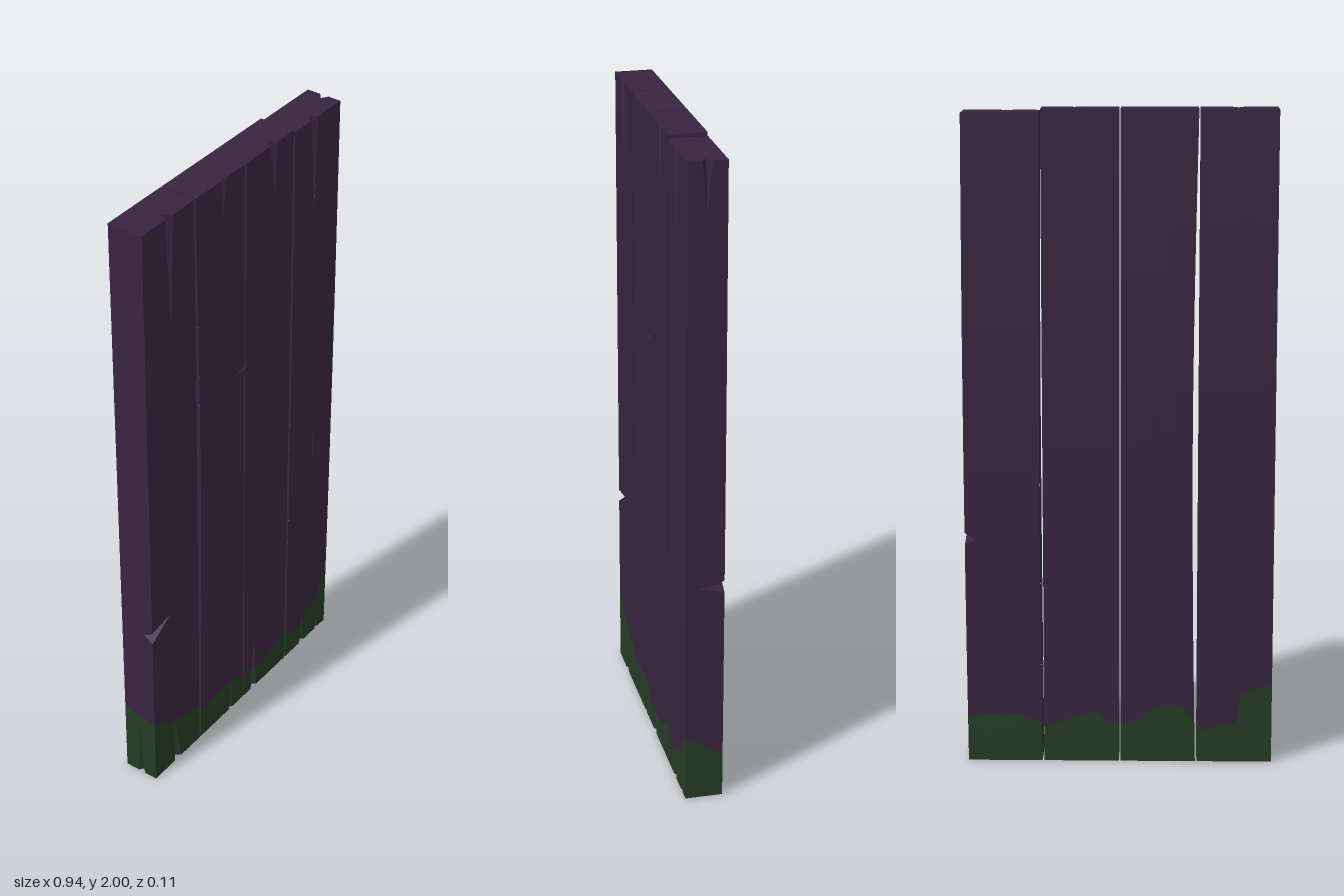
import * as THREE from 'three';

const FRONT = 0.056, BACK = -0.058;
const V = (x, y, z) => new THREE.Vector3(x, y, z);

// upper border of the moss along the front and the back
const mossFront = [[-0.47, 0.23], [-0.43, 0.22], [-0.4, 0.18], [-0.37, 0.17], [-0.33, 0.16], [-0.28, 0.14], [-0.25, 0.14],
  [-0.235, 0.11], [-0.15, 0.115], [-0.08, 0.12], [-0.05, 0.1], [-0.03, 0.11], [-0.01, 0.07], [0.03, 0.085], [0.08, 0.07],
  [0.15, 0.085], [0.2, 0.1], [0.22, 0.13], [0.24, 0.13], [0.25, 0.1], [0.29, 0.07], [0.34, 0.08], [0.35, 0.11],
  [0.39, 0.13], [0.42, 0.14], [0.43, 0.19], [0.467, 0.21]];
const mossBack = [[-0.47, 0.25], [-0.375, 0.22], [-0.36, 0.12], [-0.32, 0.12], [-0.25, 0.1], [-0.2, 0.18], [-0.12, 0.18],
  [-0.06, 0.13], [0.02, 0.12], [0.07, 0.16], [0.14, 0.14], [0.22, 0.11], [0.3, 0.15], [0.38, 0.15], [0.467, 0.14]];

// cracks: [centre x, half width, tip x, length, depth]
// nick: a cut across a vertical edge; endNick: a cut into a side face from one end
const planks = [
  { name: 'plankRight', x0: -0.47, x1: -0.24, top: 2, bow: [0, 0],
    topCracks: [[-0.352, 0.018, -0.35, 0.35, 0.028]],
    bottomCracks: [[-0.355, 0.016, -0.365, 0.17, 0.022]],
    nick: { x: -0.47, z: FRONT, lo: 0.565, hi: 0.605, tipX: -0.38, tipY: 0.62, tipZ: FRONT - 0.03 },
    endNick: { x: -0.47, end: 0, half: 0.012, inX: -0.455, tipY: 0.19 } },
  { name: 'plankMiddleRight', x0: -0.235, x1: -0.005, top: 2, bow: [0.013, 0],
    topCracks: [[-0.102, 0.013, -0.11, 0.12, 0.01]],
    bottomCracks: [[-0.072, 0.009, -0.072, 0.1, 0.01]],
    nick: { x: -0.005, z: FRONT, lo: 1.306, hi: 1.322, tipX: -0.05, tipY: 1.31, tipZ: FRONT - 0.012 } },
  { name: 'plankMiddleLeft', x0: 0, x1: 0.23, top: 2, bow: [0, 0],
    topCracks: [[0.133, 0.017, 0.14, 0.17, 0.018]],
    bottomCracks: [[0.055, 0.016, 0.055, 0.24, 0.02]] },
  { name: 'plankLeft', x0: 0.236, x1: 0.464, top: 1.99, bow: [0.004, 0.004],
    topCracks: [[0.334, 0.018, 0.34, 0.32, 0.017]],
    bottomCracks: [[0.332, 0.014, 0.328, 0.13, 0.016], [0.417, 0.008, 0.414, 0.08, 0.01]],
    nick: { x: 0.464, z: BACK, lo: 0.685, hi: 0.725, tipX: 0.434, tipY: 0.705, tipZ: 0.02 },
    endNick: { x: 0.464, end: 1.99, half: 0.014, inX: 0.442, tipY: 1.83 },
    sliver: [[0.361, 0.8, 0.8], [0.366, 0.72, 0.88], [0.37, 0.8, 0.8]] },
];

// piecewise linear curve; k picks the value column
function curve(points, k = 1) {
  const p = [...points].sort((a, b) => a[0] - b[0]);
  const f = (u) => {
    if (u <= p[0][0]) return p[0][k];
    for (let i = 1; i < p.length; i++) {
      if (u <= p[i][0]) return p[i - 1][k] + (p[i][k] - p[i - 1][k]) * (u - p[i - 1][0]) / (p[i][0] - p[i - 1][0]);
    }
    return p[p.length - 1][k];
  };
  f.stops = p.map((q) => q[0]);
  return f;
}
const flat = (v) => curve([[0, v]]);

// triangle wound to face the given point
function tri(out, a, b, c, toward) {
  const n = b.clone().sub(a).cross(c.clone().sub(a));
  if (n.length() < 1e-9) return;
  const ok = n.dot(toward.clone().sub(a)) > 0;
  for (const p of ok ? [a, b, c] : [a, c, b]) out.push(p.x, p.y, p.z);
}
function quad(out, a, b, c, d, toward) {
  tri(out, a, b, c, toward);
  tri(out, a, c, d, toward);
}

// flat face made of columns between curves; band = [lower, upper, output, rows]
function sheet(u0, u1, curves, bands, place, toward) {
  const inside = curves.flatMap((c) => c.stops).filter((u) => u > u0 + 1e-5 && u < u1 - 1e-5);
  const stops = [...new Set([u0, ...inside, u1])].sort((a, b) => a - b);
  for (let i = 1; i < stops.length; i++) for (let s = 0; s < 4; s++) {
    const step = (stops[i] - stops[i - 1]) / 4, a = stops[i - 1] + step * s, b = a + step;
    for (const [lo, hi, out, rows] of bands) for (let r = 0; r < rows; r++) {
      const at = (u, t) => place(u, lo(u) + (hi(u) - lo(u)) * t / rows);
      quad(out, at(a, r), at(b, r), at(b, r + 1), at(a, r + 1), toward);
    }
  }
}

// two walls of a V cut: mouth a-b, inner point c, tip d; mossy up to fraction t
function cut(wood, moss, a, b, c, d, t = 0) {
  const mid = a.clone().add(b).add(c).add(d).multiplyScalar(0.25);
  for (const e of [a, b]) {
    const e2 = e.clone().lerp(d, t), c2 = c.clone().lerp(d, t);
    quad(moss, e, c, c2, e2, mid);
    tri(wood, e2, c2, d, mid);
  }
}

function buildPlank(s, materials) {
  const wood = [], moss = [], { x0, x1, top, nick: n, endNick: e } = s;
  const spikes = (list, base, k, sign) => curve([[x0, base], [x1, base],
    ...list.flatMap((c) => [[c[0] - c[1], base], [k === 3 ? c[2] : c[0], base + sign * c[k]], [c[0] + c[1], base]])]);
  const mF = curve(mossFront), mB = curve(mossBack);

  // upright face with moss below, a gap for a nick, wood above
  const upright = (u0, u1, bot, mossLine, gap, topLine, place, toward) => {
    const lo = curve(gap, 1), hi = curve(gap, 2);
    const edge = (u) => Math.max(mossLine(u), bot(u));
    sheet(u0, u1, [bot, mossLine, lo, topLine],
      [[bot, edge, moss, 1], [edge, lo, wood, 3], [hi, topLine, wood, 6]], place, toward);
  };
  const noGap = [[0, 1, 1]];

  // front and back
  const frontGap = s.sliver || (n && n.z === FRONT ? [[n.x, n.lo, n.hi], [n.tipX, n.tipY, n.tipY]] : noGap);
  const backGap = n && n.z === BACK ? [[n.x, n.lo, n.hi], [n.tipX, n.tipY, n.tipY]] : noGap;
  upright(x0, x1, spikes(s.bottomCracks, 0, 3, 1), mF, frontGap, spikes(s.topCracks, top, 3, -1),
    (u, v) => V(u, v, FRONT), V(0, 1, 9));
  upright(x0, x1, flat(0), mB, backGap, flat(top), (u, v) => V(u, v, BACK), V(0, 1, -9));

  // sides
  for (const x of [x0, x1]) {
    const mid = (n && n.x === x) ? (n.lo + n.hi) / 2 : 0;
    const gap = mid ? [[n.z, n.lo, n.hi], [n.tipZ, mid, mid]] : noGap;
    const end = (y) => (e && e.x === x && e.end === y ? curve([[-e.half, y], [0, e.tipY], [e.half, y]]) : flat(y));
    upright(BACK, FRONT, end(0), curve([[BACK, mB(x)], [FRONT, mF(x)]]), gap, end(top),
      (u, v) => V(x, v, u), V(x === x0 ? -9 : 9, 1, 0));
  }

  // top and bottom ends
  for (const [y, list, out] of [[top, s.topCracks, wood], [0, s.bottomCracks, moss]]) {
    const gap = e && e.end === y ? [[e.x, -e.half, e.half], [e.inX, 0, 0]] : [[0, 0, 0]];
    const lo = curve(gap, 1), hi = curve(gap, 2), rim = spikes(list, FRONT, 4, -1);
    sheet(x0, x1, [lo, rim], [[flat(BACK), lo, out, 1], [hi, rim, out, 1]],
      (u, v) => V(u, y, v), V(0, y ? 9 : -9, 0));
    // crack walls
    for (const [x, w, tip, len, d] of list) {
      cut(wood, moss, V(x - w, y, FRONT), V(x + w, y, FRONT), V(x, y, FRONT - d),
        V(tip, y ? y - len : len, FRONT), y ? 0 : Math.min(1, mF(x) / len));
    }
  }
  // nick walls
  if (n) cut(wood, moss, V(n.x, n.lo, n.z), V(n.x, n.hi, n.z), V(n.x, (n.lo + n.hi) / 2, n.tipZ), V(n.tipX, n.tipY, n.z));
  if (e) cut(wood, moss, V(e.x, e.end, -e.half), V(e.x, e.end, e.half), V(e.inX, e.end, 0), V(e.x, e.tipY, 0), e.end ? 0 : 1);
  if (s.sliver) {
    const [l, m, r] = s.sliver;
    for (const y of [m[1], m[2]]) {
      cut(wood, moss, V(l[0], l[1], FRONT), V(r[0], r[1], FRONT), V(m[0], l[1], FRONT - 0.01), V(m[0], y, FRONT));
    }
  }

  const group = new THREE.Group();
  group.name = s.name;
  for (const [name, data] of [['wood', wood], ['moss', moss]]) {
    // slight bow of the long edges
    for (let i = 0; i < data.length; i += 3) {
      const f = (data[i] - x0) / (x1 - x0);
      data[i] += ((1 - f) * s.bow[0] + f * s.bow[1]) * Math.sin(Math.PI * data[i + 1] / 2);
    }
    const g = new THREE.BufferGeometry();
    g.setAttribute('position', new THREE.Float32BufferAttribute(data, 3));
    g.computeVertexNormals();
    const mesh = new THREE.Mesh(g, materials[name]);
    mesh.name = `${s.name}_${name}`;
    group.add(mesh);
  }
  return group;
}

export function createModel() {
  const materials = {
    wood: new THREE.MeshStandardMaterial({ color: 0x38243f }),
    moss: new THREE.MeshStandardMaterial({ color: 0x243c24 }),
  };
  materials.wood.name = 'purpleWood';
  materials.moss.name = 'greenMoss';
  const model = new THREE.Group();
  model.name = 'plankPanel';
  for (const s of planks) model.add(buildPlank(s, materials));
  return model;
}
